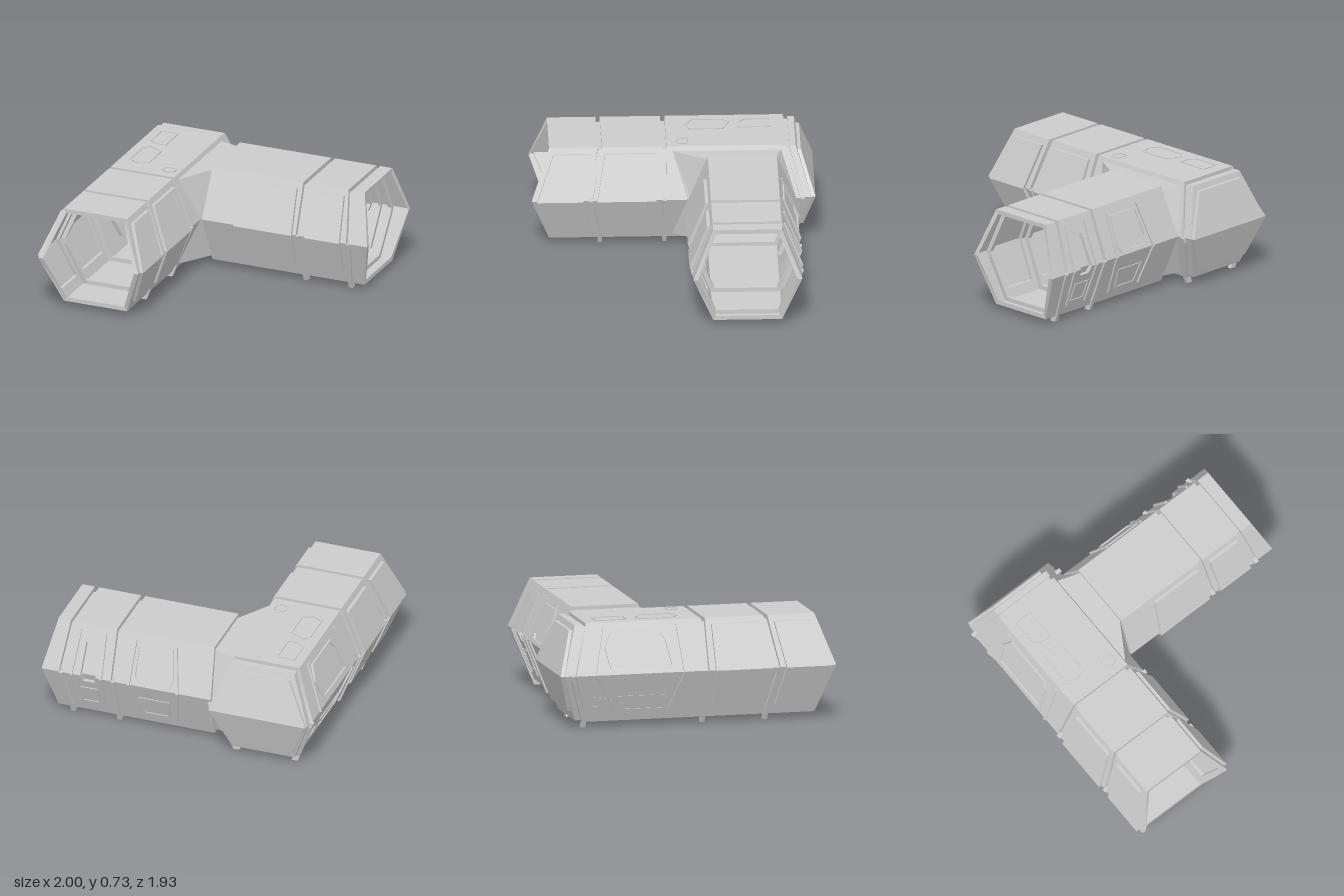
import * as THREE from 'three';

const MID = 0.38, H = 0.34, WM = 0.37, WT = 0.235;
const mat = new THREE.MeshStandardMaterial({ color: 0xcccccc, flatShading: true, side: THREE.DoubleSide });

// Arms map (u along the arm, w sideways, y up) to model space
const armZ = (u, w, y) => [-0.61 + w, y, u];
const armX = (u, w, y) => [u, y, -0.47 + w];

// Joins consecutive closed loops with quads; skip(segment, face) leaves openings
function loft(loops, skip = () => false) {
  const out = [];
  for (let s = 0; s + 1 < loops.length; s++) {
    const a = loops[s], b = loops[s + 1], n = a.length;
    for (let i = 0; i < n; i++) {
      if (skip(s, i)) continue;
      const j = (i + 1) % n;
      out.push(a[i], b[i], b[j], a[i], b[j], a[j]);
    }
  }
  return out;
}
const fan = (p) => p.slice(2).flatMap((q, i) => [p[0], p[i + 1], q]);

function addMesh(parent, name, tris) {
  const g = new THREE.BufferGeometry();
  g.setAttribute('position', new THREE.Float32BufferAttribute(tris.flat(), 3));
  g.computeVertexNormals();
  const m = new THREE.Mesh(g, mat);
  m.name = name;
  parent.add(m);
  return m;
}

// Hexagonal section: t = position of top and bottom, m = of the side ridges, d = inset
function hex(arm, [t, m, d = 0]) {
  const wt = WT - 0.68 * d, wm = WM - 1.077 * d, h = H - d;
  return [[t, -wt, h], [t, wt, h], [m, wm, 0], [t, wt, -h], [t, -wt, -h], [m, -wm, 0]]
    .map(([u, w, y]) => arm(u, w, MID + y));
}

// Point on a sloping side wall, pushed out by off
const onWall = (arm, side) => (u, y, off = 0) =>
  arm(u, side * (WM - (WM - WT) * Math.abs(y - MID) / H + off), y);
const onRoof = (u, w, off = 0) => armZ(u, w, MID + H + off);

// Wall section wrapped around the ridge with a raised or sunken bay
function bay(parent, name, arm, side, seg, hole, off, yT = 0.68, yB = 0.11) {
  const P = onWall(arm, side);
  const loop = ([a, b, c, d], top, bot, o) => [
    P(a, top, o), P(b, MID, o), P(a, bot, o), P(c, bot, o), P(d, MID, o), P(c, top, o)];
  const face = loop(hole, yT, yB, off);
  addMesh(parent, name, [
    ...loft([loop(seg, MID + H, MID - H, 0), loop(hole, yT, yB, 0), face]),
    ...fan([face[0], face[1], face[4], face[5]]), ...fan([face[1], face[2], face[3], face[4]])]);
}

// Thin raised border around a polygon lying on a surface
function border(parent, name, map, pts, h = 0.008, width = 0.01) {
  const cx = pts.reduce((s, p) => s + p[0], 0) / pts.length;
  const cy = pts.reduce((s, p) => s + p[1], 0) / pts.length;
  const inner = pts.map(([x, y]) => {
    const r = Math.hypot(x - cx, y - cy), k = 1 - width * 1.3 / r;
    return [cx + (x - cx) * k, cy + (y - cy) * k];
  });
  const at = (p, o) => p.map(([x, y]) => map(x, y, o));
  addMesh(parent, name, loft([at(pts, 0), at(pts, h), at(inner, h), at(inner, 0)]));
}

// Post following the wall through a list of [u, y]
function post(parent, name, map, path, half, off, inn = -0.03) {
  const loops = path.map(([u, y]) => [
    map(u - half, y, inn), map(u - half, y, off), map(u + half, y, off), map(u + half, y, inn)]);
  addMesh(parent, name, [...loft(loops), ...fan(loops[0]), ...fan(loops.at(-1))]);
}

// Lower ribs standing in a groove, with feet that reach the ground
function ribs(parent, arm, sides, t, m) {
  for (const s of sides)
    post(parent, 'supportRib', onWall(arm, s),
      [[m, MID], [m, MID - 0.04], [t, 0.04], [t, 0]], 0.014, 0.014);
}

export function createModel() {
  const root = new THREE.Group();
  root.name = 'corridorCorner';
  const longArm = new THREE.Group(), sideArm = new THREE.Group();
  longArm.name = 'longArm';
  sideArm.name = 'sideArm';
  root.add(longArm, sideArm);

  // Long arm hull: open front, grooves between segments, doorway towards the side arm
  const zStations = [
    [0.84, 0.96, 0.03], [0.84, 0.96], [0.51, 0.57], [0.51, 0.57, 0.03], [0.48, 0.545, 0.03],
    [0.48, 0.545], [0.07, 0.07], [0.07, 0.07, 0.03], [0.04, 0.04, 0.03], [0.04, 0.04],
    [0, -0.1], [-0.74, -0.84], [-0.765, -0.865], [-0.765, -0.865, 0.025], [-0.795, -0.895, 0.025],
    [-0.795, -0.895, 0.012], [-0.84, -0.945, 0.012]];
  const zLoops = zStations.map((s) => hex(armZ, s));
  addMesh(longArm, 'longHull', loft(zLoops, (s, f) =>
    ((s === 1 || s === 5) && f !== 0 && f !== 3) || (s === 10 && (f === 1 || f === 2))));

  // Wedge-shaped back end with a shallow bulge on it
  const e = zLoops.at(-1);
  const bulge = [[0.2, 0.67, -0.85], [0.35, MID, -0.945], [0.23, 0.12, -0.865]];
  const ring = (dz) => [
    ...bulge.map(([w, y, z]) => armZ(z + dz, -w, y)),
    ...bulge.slice().reverse().map(([w, y, z]) => armZ(z + dz, w, y))];
  const out = ring(-0.025);
  addMesh(longArm, 'backEnd', [
    ...fan([e[0], e[1], e[2], e[5]]), ...fan([e[5], e[2], e[3], e[4]]),
    ...loft([ring(0.01), out]),
    ...fan([out[0], out[1], out[4], out[5]]), ...fan([out[1], out[2], out[3], out[4]])]);

  for (const side of [-1, 1]) {
    bay(longArm, 'sideBay', armZ, side, [0.51, 0.57, 0.84, 0.96], [0.55, 0.61, 0.81, 0.925], 0.022);
    bay(longArm, 'sideBay', armZ, side, [0.07, 0.07, 0.48, 0.545], [0.11, 0.115, 0.46, 0.515], 0.022);
  }
  ribs(longArm, armZ, [-1, 1], 0.495, 0.557);
  ribs(longArm, armZ, [-1, 1], 0.055, 0.055);
  ribs(longArm, armZ, [-1, 1], -0.78, -0.88);

  // Left-over rear wall: window, posts and rail
  const wallA = onWall(armZ, -1);
  border(longArm, 'rearWindow', wallA,
    [[-0.2, 0.6], [-0.17, 0.42], [-0.62, 0.42], [-0.65, 0.56], [-0.6, 0.66], [-0.24, 0.66]], 0.012, 0.018);
  border(longArm, 'lowerPanel', wallA, [[-0.2, 0.22], [-0.57, 0.22], [-0.54, 0.12], [-0.22, 0.12]], 0.008);
  border(longArm, 'lowerHatch', wallA, [[-0.6, 0.2], [-0.74, 0.22], [-0.74, 0.15], [-0.6, 0.14]], 0.008);
  post(longArm, 'wallPost', wallA, [[-0.64, 0.69], [-0.72, MID], [-0.57, 0.12]], 0.008, 0.012);
  post(longArm, 'wallPost', wallA, [[-0.13, 0.69], [-0.1, MID], [-0.19, 0.12]], 0.008, 0.012);

  // Roof hatches (position along the arm, sideways position)
  border(longArm, 'roofHatch', onRoof,
    [[-0.68, -0.17], [-0.68, -0.04], [-0.45, -0.04], [-0.45, -0.12], [-0.49, -0.17]], 0.006);
  border(longArm, 'roofHatch', onRoof,
    [[-0.4, -0.13], [-0.35, -0.02], [-0.12, -0.02], [-0.09, -0.1], [-0.13, -0.17], [-0.36, -0.17]], 0.006);
  border(longArm, 'roofHatch', onRoof,
    [[-0.11, 0.12], [-0.1, 0.2], [-0.04, 0.2], [-0.02, 0.16], [-0.04, 0.11], [-0.09, 0.105]], 0.006, 0.008);

  // Wall console inside the corner
  const boxes = [
    ['consoleDesk', 0.08, 0.02, 0.2, -0.88, 0.35, -0.2], ['consoleScreen', 0.012, 0.07, 0.18, -0.9, 0.345, -0.2],
    ['consoleArm', 0.012, 0.02, 0.25, -0.865, 0.52, -0.3], ['consoleDisplay', 0.015, 0.08, 0.1, -0.865, 0.5, -0.46],
    ['consolePost', 0.012, 0.15, 0.02, -0.88, 0.41, -0.52], ['consoleRail', 0.012, 0.015, 0.25, -0.89, 0.345, -0.65]];
  for (const [name, w, h, d, x, y, z] of boxes) {
    const b = new THREE.Mesh(new THREE.BoxGeometry(w, h, d), mat);
    b.name = name;
    b.position.set(x, y, z);
    longArm.add(b);
  }

  // Side arm hull with an open end
  const xStations = [
    [-0.21, -0.23], [0.465, 0.465], [0.465, 0.465, 0.03], [0.495, 0.495, 0.03], [0.495, 0.495],
    [0.8, 0.84], [0.8, 0.84, 0.03], [0.83, 0.87, 0.03], [0.83, 0.87], [0.92, 0.995], [0.92, 0.995, 0.03]];
  addMesh(sideArm, 'sideHull', loft(xStations.map((s) => hex(armX, s)), (s, f) =>
    (s === 0 && (f === 1 || f === 2)) || (s === 4 && f !== 0 && f !== 3)));
  bay(sideArm, 'largeBay', armX, 1, [-0.21, -0.23, 0.465, 0.465], [0.06, 0.015, 0.43, 0.44], 0.022);
  bay(sideArm, 'smallBay', armX, 1, [0.495, 0.495, 0.8, 0.84], [0.535, 0.535, 0.78, 0.795], 0.022);
  bay(sideArm, 'recess', armX, -1, [0.495, 0.495, 0.8, 0.84], [0.62, 0.605, 0.7, 0.715], -0.03, 0.6, 0.33);
  ribs(sideArm, armX, [-1, 1], 0.48, 0.48);
  ribs(sideArm, armX, [-1, 1], 0.815, 0.855);

  // Back wall of the side arm: window borders and posts
  const wallB = onWall(armX, -1);
  border(sideArm, 'backWindow', wallB,
    [[0.08, 0.65], [0.33, 0.65], [0.34, 0.44], [0.31, 0.4], [0.07, 0.4], [0.05, 0.46]], 0.01, 0.014);
  border(sideArm, 'backPanel', wallB, [[0.08, 0.27], [0.31, 0.27], [0.29, 0.12], [0.1, 0.12]], 0.01);
  border(sideArm, 'backPanel', wallB, [[0.6, 0.27], [0.73, 0.27], [0.73, 0.13], [0.6, 0.13]], 0.01);
  for (const [top, mid, low] of [[0.06, 0.01, 0.05], [0.35, 0.365, 0.34], [0.57, 0.565, 0.57], [0.75, 0.78, 0.75]])
    post(sideArm, 'wallPost', wallB, [[top, 0.68], [mid, MID], [low, 0.1]], 0.008, 0.014);

  // Splayed collar between the two arms
  const collar = (w, h) => [[0, w, h], [-0.1, WM, 0], [0, w, -h], [-0.74, w, -h], [-0.84, WM, 0], [-0.74, w, h]]
    .map(([u, ww, y]) => armZ(u, ww, MID + y));
  const reorder = (l) => [l[1], l[2], l[3], l[4], l[5], l[0]];
  addMesh(root, 'collar', loft([
    collar(WT, H), collar(WT + 0.012, H - 0.03),
    reorder(hex(armX, [-0.21, -0.23, 0.025])), reorder(hex(armX, [-0.21, -0.23]))]));

  return root;
}
